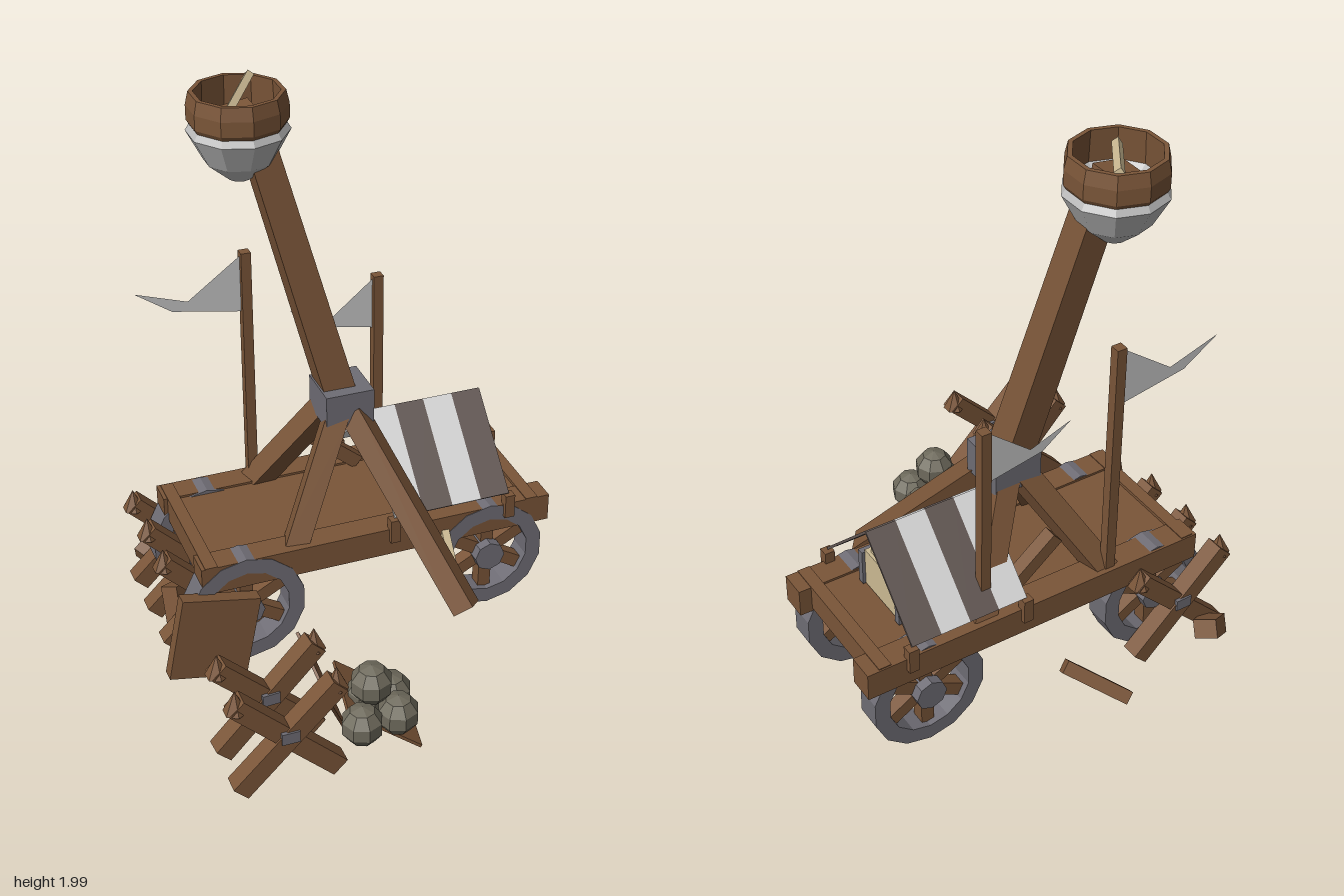
import * as THREE from 'three';

const V = (x, y, z) => new THREE.Vector3(x, y, z);
const mat = (name, color, double) => {
  const m = new THREE.MeshStandardMaterial({ color });
  m.name = name;
  if (double) m.side = THREE.DoubleSide;
  return m;
};

export function createModel() {
  const root = new THREE.Group();
  root.name = 'siegeCart';
  const wood = mat('wood', 0x7a5538);
  const metal = mat('metal', 0x6f6d75);
  const bowlGrey = mat('bowlGrey', 0xbcbcbc);
  const stone = mat('stone', 0x6e6a5c);
  const cream = mat('cream', 0xcdbb94);
  const flagCloth = mat('flagCloth', 0xc6c6c6, true);
  const lightCloth = mat('lightCloth', 0xd6d6d6, true);
  const darkCloth = mat('darkCloth', 0x625753, true);

  // Helpers: flat-shaded mesh, box, beam between two points, slab from three corners
  const add = (name, geo, m, parent = root) => {
    const g = geo.index ? geo.toNonIndexed() : geo;
    g.computeVertexNormals();
    const mesh = new THREE.Mesh(g, m);
    mesh.name = name;
    parent.add(mesh);
    return mesh;
  };
  const box = (name, m, x0, x1, y0, y1, z0, z1, parent = root) => {
    const mesh = add(name, new THREE.BoxGeometry(x1 - x0, y1 - y0, z1 - z0), m, parent);
    mesh.position.set((x0 + x1) / 2, (y0 + y1) / 2, (z0 + z1) / 2);
    return mesh;
  };
  const beam = (name, m, a, b, w, taper = 1) => {
    const dir = b.clone().sub(a);
    const geo = new THREE.CylinderGeometry(w * taper * Math.SQRT1_2, w * Math.SQRT1_2, dir.length(), 4).rotateY(Math.PI / 4);
    const mesh = add(name, geo, m);
    mesh.position.copy(a).add(b).multiplyScalar(0.5);
    mesh.quaternion.setFromUnitVectors(V(0, 1, 0), dir.normalize());
    return mesh;
  };
  const slab = (name, m, a, b, d, t) => {
    const u = b.clone().sub(a), w = d.clone().sub(a);
    const mesh = add(name, new THREE.BoxGeometry(u.length(), w.length(), t), m);
    mesh.position.copy(b).add(d).multiplyScalar(0.5);
    const n = u.clone().cross(w).normalize();
    const ux = u.normalize();
    mesh.quaternion.setFromRotationMatrix(new THREE.Matrix4().makeBasis(ux, n.clone().cross(ux), n));
    return mesh;
  };
  const lathe = (pts, seg) => new THREE.LatheGeometry(pts.map(p => new THREE.Vector2(...p)), seg);

  // Cart bed
  box('deck', wood, -0.5, 0.57, 0.595, 0.63, -0.43, 0.02);
  for (const [z0, z1] of [[-0.455, -0.37], [-0.045, 0.04]]) box('sideBeam', wood, -0.512, 0.64, 0.545, 0.637, z0, z1);
  for (const x of [-0.5, 0.56]) box('crossBeam', wood, x, x + 0.04, 0.555, 0.64, -0.45, 0.04);

  // Wheels and axles
  for (const x of [-0.37, 0.435]) {
    const axle = add('axle', new THREE.CylinderGeometry(0.03, 0.03, 0.45, 8).rotateX(Math.PI / 2), metal);
    axle.position.set(x, 0.457, -0.205);
    for (const z of [-0.405, 0]) {
      const wheel = new THREE.Group();
      wheel.name = 'wheel';
      wheel.position.set(x, 0.457, z);
      root.add(wheel);
      add('rim', lathe([[0.135, -0.042], [0.186, -0.042], [0.186, 0.042], [0.135, 0.042], [0.135, -0.042]], 14).rotateX(Math.PI / 2), metal, wheel);
      add('hub', new THREE.CylinderGeometry(0.05, 0.05, 0.11, 8).rotateX(Math.PI / 2), metal, wheel);
      for (let i = 0; i < 3; i++) {
        const s = add('spoke', new THREE.BoxGeometry(0.29, 0.042, 0.045), wood, wheel);
        s.rotation.z = 0.5 + i * Math.PI / 3;
      }
    }
  }

  // Throwing arm, its joint and legs
  box('armJoint', metal, -0.048, 0.107, 0.933, 1.045, -0.283, -0.127);
  beam('throwingArm', wood, V(0.02, 1.0, -0.213), V(-0.195, 1.86, -0.308), 0.1, 0.88);
  for (const [a, b] of [
    [V(0.0, 0.96, -0.17), V(-0.2, 0.61, -0.01)],
    [V(0.05, 0.96, -0.16), V(0.267, 0.435, 0.25)],
    [V(0.0, 0.96, -0.24), V(-0.2, 0.61, -0.41)],
    [V(0.05, 0.96, -0.24), V(0.24, 0.61, -0.41)],
  ]) beam('supportLeg', wood, a, b, 0.07);
  beam('brace', wood, V(-0.04, 0.79, -0.37), V(0.14, 0.64, -0.37), 0.045);

  // Bowl with wooden rim, block and stick
  const bowl = new THREE.Group();
  bowl.name = 'bowl';
  bowl.position.set(-0.235, 0, -0.327);
  root.add(bowl);
  add('bowlBody', lathe([[0, 1.715], [0.035, 1.72], [0.105, 1.78], [0.152, 1.868], [0.14, 1.888], [0.13, 1.888], [0.08, 1.85], [0, 1.84]], 10), bowlGrey, bowl);
  add('bowlRim', lathe([[0.136, 1.88], [0.148, 1.9], [0.148, 1.945], [0.139, 1.985], [0.125, 1.985], [0.13, 1.88], [0.136, 1.88]], 10), wood, bowl);
  box('bowlBlock', wood, -0.045, 0.055, 1.82, 1.93, -0.052, 0.048, bowl).rotation.z = 0.15;
  beam('bowlStick', cream, V(-0.295, 1.95, -0.24), V(-0.165, 1.985, -0.43), 0.022);

  // Flags on poles
  for (const [x, z, top, s] of [[-0.2, -0.425, 1.43, 1], [0.22, -0.395, 1.29, 0.82]]) {
    box('flagPole', wood, x - 0.016, x + 0.016, 0.56, top, z - 0.016, z + 0.016);
    const pts = [[0, 0], [-0.17, -0.125], [-0.335, -0.07], [-0.22, -0.15], [0, -0.19]];
    const shape = new THREE.Shape(pts.map(([px, py]) => new THREE.Vector2(px * s, py * (s + 1) / 2)));
    add('flag', new THREE.ShapeGeometry(shape), flagCloth).position.set(x - 0.014, top - 0.012, z);
  }

  // Striped tent with corner pegs
  for (let i = 0; i < 4; i++) {
    const x = 0.11 + i * 0.0965;
    for (const z of [0.042, -0.456]) {
      const ridge = V(x, 0.922, -0.207), w = V(0.0965, 0, 0);
      slab('tentStripe', i % 2 ? darkCloth : lightCloth, ridge, ridge.clone().add(w), V(x, 0.678, z), 0.008);
    }
  }
  for (const x of [0.11, 0.497]) for (const z of [0.04, -0.455]) {
    box('tentPeg', wood, x - 0.016, x + 0.016, 0.595, 0.675, z - 0.016, z + 0.016);
  }

  // Chest under the tent
  box('chestBody', cream, 0.17, 0.45, 0.635, 0.765, -0.305, -0.11);
  box('chestLid', cream, 0.19, 0.44, 0.765, 0.79, -0.285, -0.13);
  for (const z of [-0.32, -0.11]) box('chestSide', metal, 0.165, 0.46, 0.635, 0.755, z, z + 0.022);
  beam('staff', cream, V(0.265, 0.465, 0.18), V(0.3, 0.69, -0.11), 0.025);

  // Spiked barricades
  for (const [z, yaw] of [[-0.48, 0], [-0.31, 0], [-0.13, 0], [0.41, 0.06], [0.588, 0]]) {
    const cross = new THREE.Group();
    cross.name = 'barricade';
    cross.position.set(-0.435, 0.422, z);
    cross.rotation.y = yaw;
    root.add(cross);
    for (const s of [-1, 1]) {
      const b = add('barricadeBeam', new THREE.BoxGeometry(0.43, 0.06, 0.058), wood, cross);
      b.rotation.z = s * Math.PI / 4;
      b.position.z = s * 0.003;
      add('spike', new THREE.ConeGeometry(0.036, 0.07, 6), wood, cross).position.set(s * 0.15, 0.165, 0);
    }
    box('barricadeBolt', metal, -0.027, 0.027, -0.005, 0.033, -0.038, 0.038, cross);
  }

  // Stone pile
  for (const [x, y, z] of [[-0.12, 0.335, 0.405], [-0.052, 0.335, 0.42], [-0.185, 0.335, 0.53], [-0.068, 0.335, 0.52], [-0.135, 0.433, 0.475]]) {
    add('stone', new THREE.SphereGeometry(0.066, 8, 5), stone).position.set(x, y, z);
  }

  // Loose boards and scraps
  slab('boardUnderStones', wood, V(-0.168, 0.347, 0.243), V(0.05, 0.188, 0.286), V(-0.215, 0.352, 0.49), 0.01);
  slab('fallenBoard', wood, V(-0.188, 0.2, 0.288), V(-0.106, 0.008, 0.215), V(-0.21, 0.312, 0.02), 0.01);
  slab('leaningBoard', wood, V(-0.64, 0.29, 0.06), V(-0.395, 0.24, 0.06), V(-0.585, 0.565, 0.055), 0.045);
  beam('loosePlank', wood, V(-0.175, 0.24, -0.6), V(-0.02, 0.35, -0.475), 0.042);
  const scrapA = add('scrap', new THREE.BoxGeometry(0.08, 0.06, 0.075), wood);
  scrapA.position.set(-0.52, 0.325, -0.55);
  scrapA.rotation.set(0.4, 0.6, 0.2);
  const scrapB = add('scrap', new THREE.BoxGeometry(0.065, 0.14, 0.06), wood);
  scrapB.position.set(-0.53, 0.345, -0.2);
  scrapB.rotation.set(-0.4, 0.7, 0);

  return root;
}
